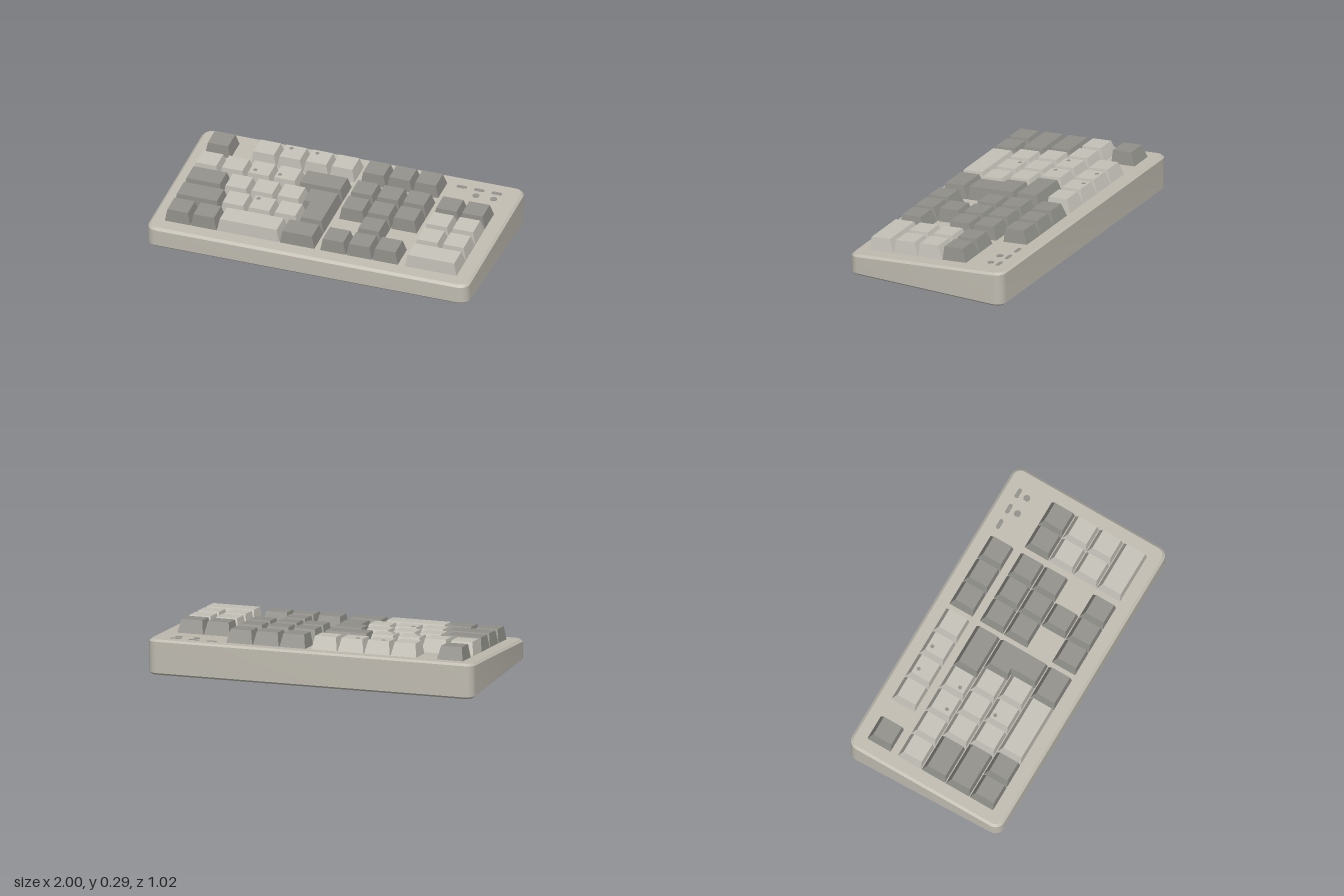
import * as THREE from 'three';
import { toCreasedNormals } from 'three/addons/utils/BufferGeometryUtils.js';

const SLOPE = 0.087; // fall of the deck from back to front
const DECK = 0.173; // deck height at z = 0
const U = 0.1626; // width of one key unit

// Closed solid through rings of [x, y, z], lowest first, each clockwise from above
function loft(rings) {
  const n = rings[0].length;
  const index = [];
  for (let r = 0; r < rings.length - 1; r++) {
    for (let i = 0; i < n; i++) {
      const j = (i + 1) % n;
      const a = r * n + i, b = r * n + j;
      index.push(a, a + n, b + n, a, b + n, b);
    }
  }
  const cap = (ring, base, up) => {
    const contour = ring.map((p) => new THREE.Vector2(p[0], p[2]));
    for (const [a, b, c] of THREE.ShapeUtils.triangulateShape(contour, [])) {
      const ab = contour[b].clone().sub(contour[a]);
      const ac = contour[c].clone().sub(contour[a]);
      const facesUp = ab.y * ac.x - ab.x * ac.y > 0;
      if (facesUp === up) index.push(base + a, base + b, base + c);
      else index.push(base + a, base + c, base + b);
    }
  };
  cap(rings[0], 0, false);
  cap(rings[rings.length - 1], (rings.length - 1) * n, true);
  const geometry = new THREE.BufferGeometry();
  geometry.setAttribute('position', new THREE.Float32BufferAttribute(rings.flat(2), 3));
  geometry.setIndex(index);
  return toCreasedNormals(geometry, 0.5);
}

// Rounded rectangle in plan; height is a function of z
function roundedRing(halfX, halfZ, radius, height, steps = 6) {
  const ring = [];
  const corners = [[-1, -1], [1, -1], [1, 1], [-1, 1]];
  corners.forEach(([sx, sz], k) => {
    for (let i = 0; i <= steps; i++) {
      const angle = Math.PI + (k + i / steps) * Math.PI / 2;
      const x = sx * (halfX - radius) + Math.cos(angle) * radius;
      const z = sz * (halfZ - radius) + Math.sin(angle) * radius;
      ring.push([x, height(z), z]);
    }
  });
  return ring;
}

// Tapered cap from corners [x, z, inward x sign, inward z sign]
function keyGeometry(corners) {
  const gap = 0.002;
  const ring = (y, side, back, front) => corners.map(([x, z, sx, sz]) =>
    [x + sx * side, y, z + (sz > 0 ? back : -front)]);
  return loft([ring(-0.002, gap, gap, gap), ring(0.079, 0.018, 0.027, 0.012)]);
}

const rectCorners = (x0, x1, z0, z1) =>
  [[x0, z0, 1, 1], [x1, z0, -1, 1], [x1, z1, -1, -1], [x0, z1, 1, -1]];

export function createModel() {
  const material = (name, color) => {
    const m = new THREE.MeshStandardMaterial({ color });
    m.name = name;
    return m;
  };
  const caseMat = material('case beige', 0xbfbbb0);
  const lightMat = material('light key', 0xc4c1b8);
  const darkMat = material('dark key', 0x91908a);
  const rubberMat = material('black rubber', 0x1e1e1e);

  const model = new THREE.Group();
  model.name = 'keyboard';
  const add = (parent, name, geometry, mat) => {
    const mesh = new THREE.Mesh(geometry, mat);
    mesh.name = name;
    parent.add(mesh);
    return mesh;
  };

  // Wedge case with chamfered bottom and top edges
  const inset = 0.015;
  const inner = (height) => roundedRing(1 - inset, 0.512 - inset, 0.06 - inset, height);
  const outer = (height) => roundedRing(1, 0.512, 0.06, height);
  add(model, 'case', loft([
    inner(() => 0.003),
    outer(() => 0.016),
    outer((z) => DECK - 0.013 - SLOPE * z),
    inner((z) => DECK - SLOPE * z),
  ]), caseMat);

  // Four rubber feet
  const footGeometry = loft([
    roundedRing(0.073, 0.073, 0.025, () => 0, 4),
    roundedRing(0.073, 0.073, 0.025, () => 0.006, 4),
  ]);
  for (const x of [-0.82, 0.82]) {
    for (const z of [-0.32, 0.32]) {
      add(model, 'foot', footGeometry, rubberMat).position.set(x, 0, z);
    }
  }

  // Everything on the deck shares its tilt
  const deck = new THREE.Group();
  deck.name = 'deck';
  deck.position.y = DECK;
  deck.rotation.x = Math.atan(SLOPE);
  model.add(deck);

  // Runs of keys: row, start x, widths in units (negative means dark)
  const rowZ = [-0.43, -0.225, -0.0625, 0.1, 0.2625];
  const main = -0.915, nav = 0.052, pad = 0.58;
  const runs = [
    [0, main, [-1]],
    [0, main + 1.75 * U, [1, 1, 1, 1]],
    [0, nav, [-1, -1, -1]],
    [1, main, [1, 1, 1, 1, -1.75]],
    [1, nav, [-1, -1, -1]],
    [1, pad, [-1, -1]],
    [2, main, [-1.5, 1, 1, 1]],
    [2, nav, [-1, -1, -1]],
    [2, pad, [1, 1]],
    [3, main, [-1.75, 1, 1, 1]],
    [3, nav + U, [-1]],
    [3, pad, [1, 1]],
    [4, main, [-1, -1, 2.4, -1.35]],
    [4, nav, [-1, -1, -1]],
    [4, pad, [2]],
  ];
  for (const [row, start, widths] of runs) {
    let x = start;
    for (const w of widths) {
      const end = x + Math.abs(w) * U;
      const corners = rectCorners(x, end, rowZ[row], rowZ[row] + 0.1615);
      add(deck, w === 2.4 ? 'spaceBar' : 'key', keyGeometry(corners), w < 0 ? darkMat : lightMat);
      x = end;
    }
  }

  // L-shaped enter key across two rows
  const left = main + 4.5 * U, step = main + 4.75 * U, right = main + 5.75 * U;
  add(deck, 'enterKey', keyGeometry([
    [left, rowZ[2], 1, 1], [right, rowZ[2], -1, 1],
    [right, rowZ[4] - 0.001, -1, -1], [step, rowZ[4] - 0.001, 1, -1],
    [step, rowZ[3], 1, -1], [left, rowZ[3], 1, -1],
  ]), darkMat);

  // Status panel above the number pad: label plates and indicator lamps
  const plate = loft([
    roundedRing(0.032, 0.012, 0.011, () => 0, 4),
    roundedRing(0.032, 0.012, 0.011, () => 0.002, 4),
  ]);
  const lamp = new THREE.CylinderGeometry(0.02, 0.02, 0.004, 16);
  for (const x of [0.63, 0.74, 0.85]) {
    add(deck, 'statusPlate', plate, darkMat).position.set(x, 0, -0.418);
    if (x > 0.7) add(deck, 'statusLamp', lamp, darkMat).position.set(x, 0.001, -0.36);
  }

  // Small printed marks on a few light keys
  const mark = new THREE.CylinderGeometry(0.012, 0.012, 0.002, 10);
  const marks = [[-0.54, -0.11], [-0.385, -0.11], [-0.425, 0.15],
    [-0.41, -0.375], [-0.25, -0.375]];
  for (const [x, z] of marks) {
    add(deck, 'keyMark', mark, darkMat).position.set(x, 0.0795, z);
  }

  return model;
}
